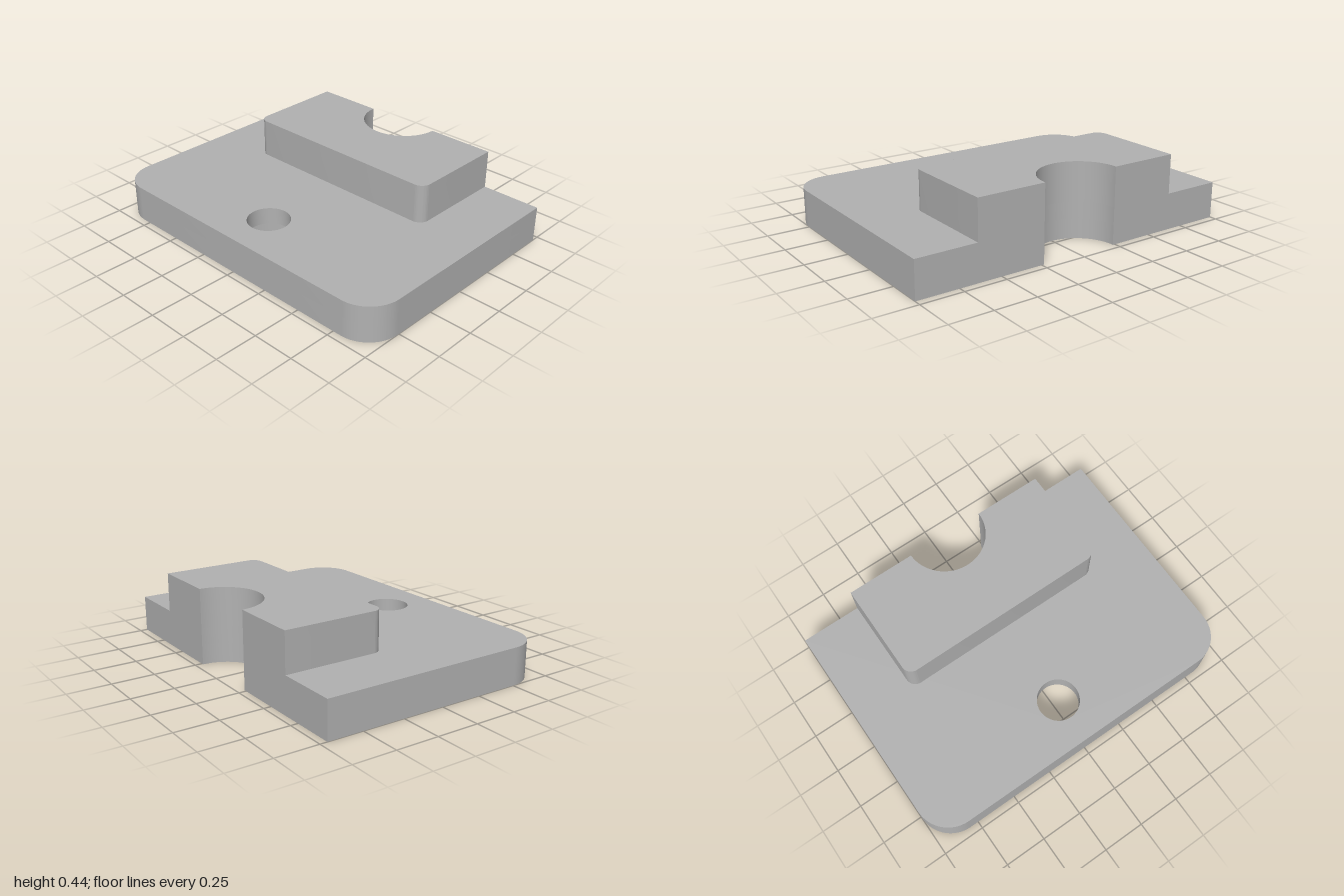
import * as THREE from 'three';
import { toCreasedNormals } from 'three/addons/utils/BufferGeometryUtils.js';

const RIGHT = 0.708;   // flat side, where the half-round notch is cut
const NOTCH = 0.236;   // notch radius
const HOLE_X = -0.432; // centre of the screw hole

// Outline seen from above: rounded corners on -x, half-round notch on +x
function outline(left, halfDepth, corner, holeRadius) {
  const s = new THREE.Shape();
  s.moveTo(RIGHT, -halfDepth);
  s.lineTo(RIGHT, -NOTCH);
  s.absarc(RIGHT, 0, NOTCH, -Math.PI / 2, Math.PI / 2, true);
  s.lineTo(RIGHT, halfDepth);
  s.absarc(left + corner, halfDepth - corner, corner, Math.PI / 2, Math.PI, false);
  s.absarc(left + corner, corner - halfDepth, corner, Math.PI, Math.PI * 1.5, false);
  s.closePath();
  if (holeRadius) {
    const hole = new THREE.Path();
    hole.absarc(HOLE_X, 0, holeRadius, 0, Math.PI * 2, true);
    s.holes.push(hole);
  }
  return s;
}

export function createModel() {
  const group = new THREE.Group();
  group.name = 'notchedMountingBlock';
  const grey = new THREE.MeshStandardMaterial({ color: 0xb2b2b2 });
  grey.name = 'grey';

  // Upright slab between two heights
  function addSlab(name, shape, y0, y1) {
    const extruded = new THREE.ExtrudeGeometry(shape, {
      depth: y1 - y0, bevelEnabled: false, curveSegments: 32,
    });
    extruded.rotateX(-Math.PI / 2).translate(0, y0, 0);
    const mesh = new THREE.Mesh(toCreasedNormals(extruded, Math.PI / 6), grey);
    mesh.name = name;
    group.add(mesh);
  }

  // Base plate: wide counterbore below, narrow through hole above
  addSlab('basePlateCounterbored', outline(-RIGHT, 1, 0.2, 0.225), 0, 0.115);
  addSlab('basePlateTop', outline(-RIGHT, 1, 0.2, 0.123), 0.115, 0.215);
  // Raised block around the notch
  addSlab('raisedBlock', outline(0.105, 0.643, 0.06, 0), 0.215, 0.445);

  return group;
}
